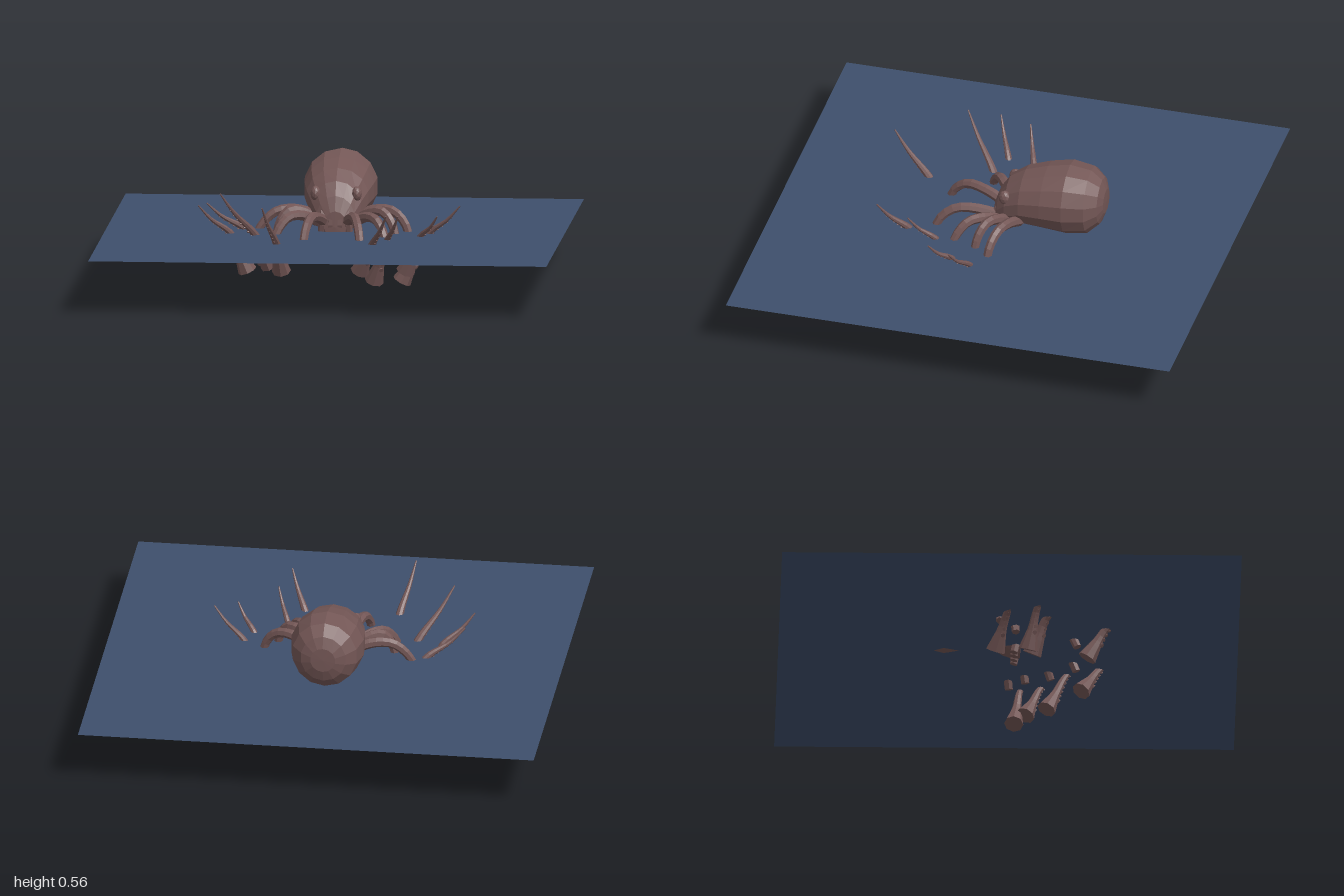
import * as THREE from 'three';

const skin = new THREE.MeshStandardMaterial({ color: 0x745756 });
skin.name = 'skin';
const water = new THREE.MeshStandardMaterial({ color: 0x3e4f6c, side: THREE.DoubleSide });
water.name = 'water';

// Faceted mesh: split the faces so every one is shaded flat
function faceted(geometry, name, material = skin) {
  const flat = geometry.index ? geometry.toNonIndexed() : geometry;
  flat.computeVertexNormals();
  const mesh = new THREE.Mesh(flat, material);
  mesh.name = name;
  return mesh;
}

// Tapered, closed tube along a curve; radius(t) gives the thickness
function limb(curve, steps, sides, radius) {
  const geo = new THREE.TubeGeometry(curve, steps, 1, sides, false);
  const pos = geo.attributes.position, normal = geo.attributes.normal;
  const p = new THREE.Vector3(), n = new THREE.Vector3();
  for (let i = 0; i <= steps; i++) {
    const t = Math.min(Math.max((i - 1) / (steps - 2), 0), 1);
    const r = i === 0 || i === steps ? 0.0001 : radius(t);
    curve.getPointAt(t, p);
    for (let j = 0; j <= sides; j++) {
      const k = i * (sides + 1) + j;
      n.fromBufferAttribute(normal, k).multiplyScalar(r).add(p);
      pos.setXYZ(k, n.x, n.y, n.z);
    }
  }
  return geo;
}

const spline = (points) => new THREE.CatmullRomCurve3(points.map((p) => new THREE.Vector3(...p)));

// Mantle and head as one loft: z, centre height, half width, half height
function makeBody() {
  const rings = [
    [-0.445, 0.4, 0, 0], [-0.443, 0.4, 0.055, 0.055], [-0.425, 0.4, 0.1, 0.105],
    [-0.375, 0.397, 0.143, 0.15], [-0.28, 0.397, 0.163, 0.163], [-0.18, 0.39, 0.156, 0.147],
    [-0.08, 0.375, 0.139, 0.127], [-0.01, 0.34, 0.112, 0.115], [0.03, 0.3, 0.085, 0.095],
    [0.052, 0.27, 0.05, 0.06], [0.055, 0.26, 0, 0],
  ];
  const last = rings.length - 1;
  const profile = rings.map((_, i) => new THREE.Vector2(i === 0 || i === last ? 0 : 1, i));
  const geo = new THREE.LatheGeometry(profile, 14);
  const pos = geo.attributes.position;
  for (let i = 0; i < pos.count; i++) {
    const [z, cy, rx, ry] = rings[Math.round(pos.getY(i))];
    pos.setXYZ(i, pos.getX(i) * rx, cy - pos.getZ(i) * ry, z);
  }
  return faceted(geo, 'body');
}

// Short arm arching out of the head and dipping into the water
function makeArm(root, tip, peak) {
  const at = (t, y) => [root[0] + (tip[0] - root[0]) * t, y, root[2] + (tip[2] - root[2]) * t];
  const curve = spline([root, at(0.35, (root[1] + peak) / 2 + 0.015), at(0.65, peak), at(0.88, peak - 0.045), tip]);
  return faceted(limb(curve, 12, 7, (t) => 0.025 - 0.007 * t), 'arm');
}

// Raised arm end: flared foot below the water, thin curling tip, suckers outside
function makeTentacle(foot, middle, tip) {
  const group = new THREE.Group();
  group.name = 'tentacle';
  const lower = foot.map((v, i) => v + (middle[i] - v) * 0.45);
  const upper = middle.map((v, i) => v + (tip[i] - v) * 0.6);
  upper[1] -= 0.012;
  const curve = spline([foot, lower, middle, upper, tip]);
  const radius = (t) => 0.003 + 0.023 * (1 - t) + 0.016 * Math.max(0, 1 - t * 4);
  group.add(faceted(limb(curve, 16, 8, radius), 'tentacleStem'));
  const outward = new THREE.Vector3(tip[0] - foot[0], 0, tip[2] - foot[2]).normalize();
  for (let i = 0; i < 11; i++) {
    const t = 0.2 + i * 0.065;
    const tangent = curve.getTangentAt(t);
    const side = outward.clone().addScaledVector(tangent, -outward.dot(tangent)).normalize();
    const r = radius(t);
    const sucker = faceted(new THREE.CylinderGeometry(r * 0.42, r * 0.25, r * 0.5, 6), 'sucker');
    sucker.quaternion.setFromUnitVectors(new THREE.Vector3(0, 1, 0), side);
    sucker.position.copy(curve.getPointAt(t)).addScaledVector(side, r * 1.02);
    group.add(sucker);
  }
  return group;
}

export function createModel() {
  const model = new THREE.Group();
  model.name = 'swimmingOctopus';

  // Water surface
  const surface = new THREE.Mesh(new THREE.PlaneGeometry(2, 2), water);
  surface.name = 'waterSurface';
  surface.rotation.x = -Math.PI / 2;
  surface.position.y = 0.24;
  model.add(surface);

  model.add(makeBody());

  // Brow bumps over the eyes
  for (const s of [-1, 1]) {
    const eye = faceted(new THREE.IcosahedronGeometry(0.028, 1), 'eye');
    eye.scale.set(0.8, 1.2, 1);
    eye.position.set(s * 0.09, 0.4, -0.01);
    model.add(eye);
  }

  // Arms around the head: root, tip, height of the arch
  const arms = [
    [[-0.05, 0.28, 0.02], [-0.12, 0.205, 0.3], 0.32],
    [[0.05, 0.28, 0.02], [0.13, 0.205, 0.3], 0.32],
    [[-0.08, 0.28, 0], [-0.26, 0.21, 0.14], 0.31],
    [[0.08, 0.28, 0.01], [0.235, 0.21, 0.19], 0.31],
    [[-0.09, 0.29, -0.03], [-0.26, 0.21, 0.03], 0.33],
    [[0.09, 0.29, -0.03], [0.27, 0.21, 0.08], 0.33],
    [[-0.1, 0.3, -0.07], [-0.345, 0.225, -0.04], 0.315],
    [[0.1, 0.3, -0.08], [0.325, 0.205, 0.01], 0.325],
  ];
  for (const a of arms) model.add(makeArm(...a));

  // Short folds of skin hanging from the head
  for (const x of [-0.055, -0.02, 0.02, 0.055]) {
    const fold = spline([[x * 0.9, 0.36, 0.005], [x, 0.29, 0.04], [x * 1.1, 0.205, 0.025]]);
    model.add(faceted(limb(fold, 7, 6, () => 0.018), 'headFold'));
  }

  // Tentacles around the front: foot, water line, tip
  const tentacles = [
    [[-0.31, 0.095, -0.06], [-0.4, 0.24, -0.01], [-0.56, 0.36, 0.05]],
    [[-0.38, 0.07, 0.08], [-0.45, 0.24, 0.12], [-0.585, 0.37, 0.19]],
    [[-0.28, 0.095, 0.1], [-0.34, 0.24, 0.16], [-0.48, 0.44, 0.31]],
    [[-0.21, 0.11, 0.34], [-0.225, 0.24, 0.42], [-0.275, 0.42, 0.585]],
    [[0.29, 0.025, 0.03], [0.41, 0.24, 0.06], [0.55, 0.37, 0.12]],
    [[0.31, 0.075, 0.08], [0.38, 0.24, 0.15], [0.46, 0.34, 0.235]],
    [[0.18, 0.045, 0.17], [0.245, 0.24, 0.26], [0.3, 0.36, 0.37]],
    [[0.13, 0.11, 0.32], [0.19, 0.24, 0.4], [0.26, 0.38, 0.52]],
  ];
  for (const t of tentacles) model.add(makeTentacle(...t));

  return model;
}
